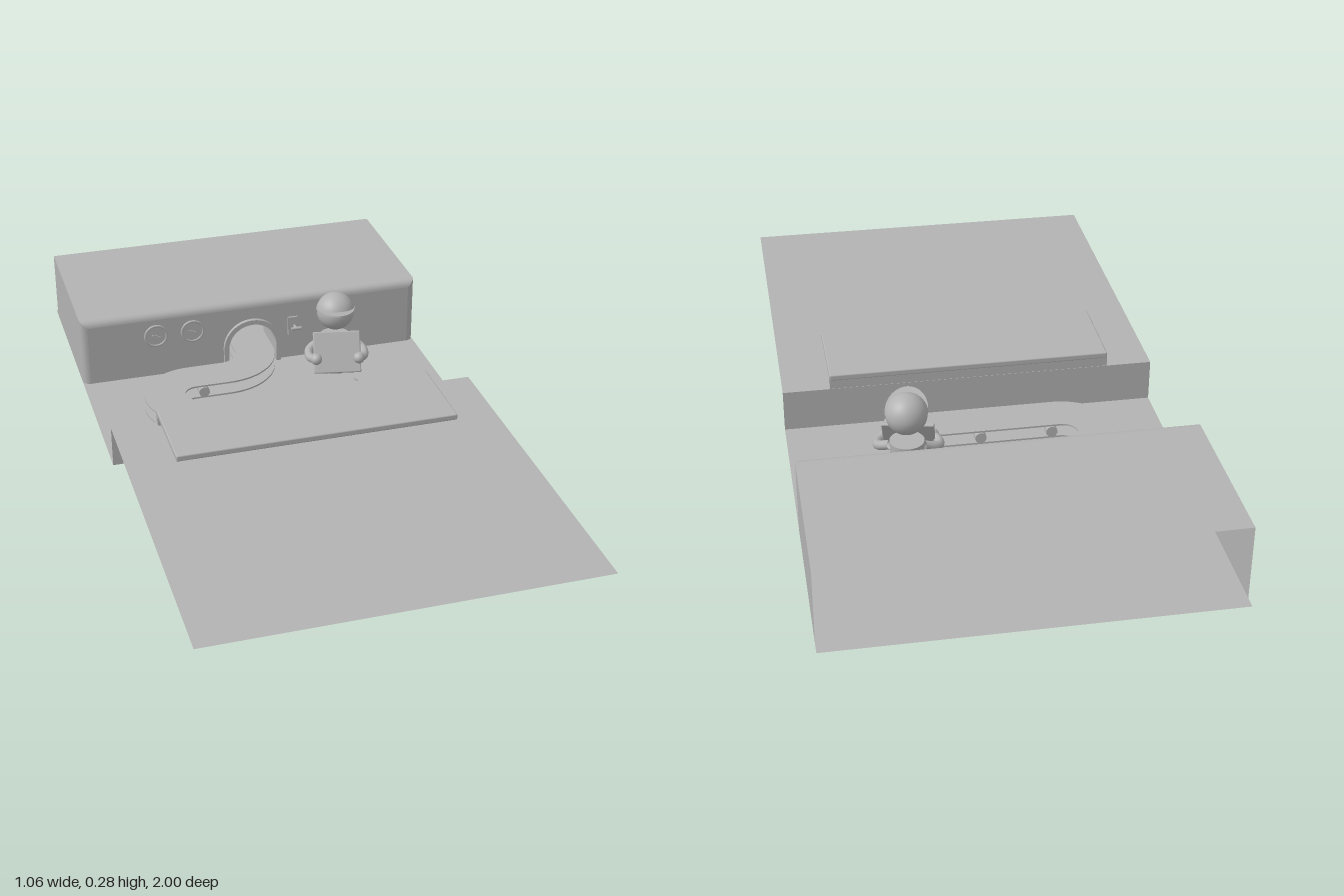
import * as THREE from 'three';
import { RoundedBoxGeometry } from 'three/addons/geometries/RoundedBoxGeometry.js';

const grey = new THREE.MeshStandardMaterial({ color: 0xb2b2b2, side: THREE.DoubleSide });
grey.name = 'plain grey';

const HALF = 0.528, WALL_Z = -0.483, WALL_H = 0.21;

function add(parent, name, geometry, x = 0, y = 0, z = 0, rx = 0, ry = 0, rz = 0) {
  const m = new THREE.Mesh(geometry, grey);
  m.name = name;
  m.position.set(x, y, z);
  m.rotation.set(rx, ry, rz);
  parent.add(m);
  return m;
}

function extrude(shape, depth, curveSegments = 24) {
  return new THREE.ExtrudeGeometry(shape, { depth, bevelEnabled: false, curveSegments });
}

// Adds a doorway outline, left foot over the top to right foot
function archLine(path, r, side) {
  path.lineTo(-r, 0);
  path.lineTo(-r, side);
  path.absarc(0, side, r, Math.PI, 0, true);
  path.lineTo(r, 0);
}

// Band between two doorway outlines
function archBand(outer, inner, side) {
  const s = new THREE.Shape();
  s.moveTo(-outer, 0);
  archLine(s, outer, side);
  s.lineTo(inner, 0);
  s.lineTo(inner, side);
  s.absarc(0, side, inner, 0, Math.PI, false);
  s.lineTo(-inner, 0);
  return s;
}

// Sides and roof of the machine, swept from the open back to a rounded front edge
function shellGeometry(r) {
  const rings = [[-0.967, 0], [WALL_Z - r - 0.01, 0]];
  for (let i = 0; i <= 6; i++) {
    const a = (i / 6) * Math.PI / 2;
    rings.push([WALL_Z - r + r * Math.sin(a), r * (1 - Math.cos(a))]);
  }
  const pos = [], idx = [];
  for (let panel = 0; panel < 3; panel++) {
    const start = pos.length / 3;
    rings.forEach(([z, d], i) => {
      const x = HALF - d, y = WALL_H - d;
      const line = [[-x, 0], [-x, y], [x, y], [x, 0]];
      pos.push(...line[panel], z, ...line[panel + 1], z);
      if (i) {
        const b = start + i * 2;
        idx.push(b - 2, b, b - 1, b - 1, b, b + 1);
      }
    });
  }
  const g = new THREE.BufferGeometry();
  g.setAttribute('position', new THREE.Float32BufferAttribute(pos, 3));
  g.setIndex(idx);
  // Turn the faces outward
  for (let i = 0; i < idx.length; i += 3) {
    const t = idx[i + 1]; idx[i + 1] = idx[i + 2]; idx[i + 2] = t;
  }
  g.setIndex(idx);
  g.computeVertexNormals();
  return g;
}

// Plan of the winding belt; shape y is -z
function beltShape() {
  const P = Math.PI, s = new THREE.Shape();
  s.moveTo(0.235, 0.08);
  s.lineTo(-0.225, 0.08);
  s.absarc(-0.225, 0.24, 0.16, -P / 2, -1.5 * P, true);
  s.lineTo(-0.12, 0.40);
  s.absarc(-0.12, 0.46, 0.06, -P / 2, 0, false);
  s.lineTo(-0.06, 0.62);
  s.lineTo(0.06, 0.62);
  s.lineTo(0.06, 0.46);
  s.absarc(-0.12, 0.46, 0.18, 0, -P / 2, true);
  s.lineTo(-0.225, 0.28);
  s.absarc(-0.225, 0.24, 0.04, P / 2, 1.5 * P, false);
  s.lineTo(0.235, 0.20);
  return s;
}

function buildGround(root) {
  add(root, 'lowerFloor', new THREE.PlaneGeometry(2 * HALF, 0.99), 0, 0, -0.505, -Math.PI / 2);
  add(root, 'upperFloor', new THREE.PlaneGeometry(2 * HALF, 1.01), 0, 0.12, 0.495, -Math.PI / 2);
  add(root, 'floorStep', new THREE.PlaneGeometry(2 * HALF, 0.12), 0, 0.06, -0.01, 0, Math.PI);
}

function buildMachine(root) {
  const g = new THREE.Group();
  g.name = 'machine';
  root.add(g);
  const r = 0.022, x = HALF - r;
  add(g, 'machineShell', shellGeometry(r));
  // Front wall with a doorway for the belt
  const face = new THREE.Shape();
  face.moveTo(-x, 0);
  archLine(face, 0.078, 0.06);
  face.lineTo(x, 0);
  face.lineTo(x, WALL_H - r);
  face.lineTo(-x, WALL_H - r);
  add(g, 'frontWall', new THREE.ShapeGeometry(face, 24), 0, 0, WALL_Z);
  add(g, 'doorFrame', extrude(archBand(0.09, 0.075, 0.06), 0.014), 0, 0, WALL_Z - 0.002);
  add(g, 'tunnel', extrude(archBand(0.081, 0.075, 0.06), 0.14), 0, 0, -0.623);
  // Two dials
  for (const dx of [-0.3, -0.187]) {
    add(g, 'dialFace', new THREE.CylinderGeometry(0.033, 0.033, 0.006, 32), dx, 0.137, WALL_Z + 0.003, Math.PI / 2);
    add(g, 'dialRim', new THREE.TorusGeometry(0.033, 0.004, 8, 32), dx, 0.137, WALL_Z + 0.005);
    add(g, 'dialNeedle', new THREE.BoxGeometry(0.026, 0.004, 0.003), dx, 0.137, WALL_Z + 0.008, 0, 0, -0.3);
  }
  // Lever beside the doorway
  add(g, 'leverPlate', new THREE.BoxGeometry(0.03, 0.06, 0.006), 0.13, 0.11, WALL_Z + 0.003);
  add(g, 'leverArm', new THREE.CylinderGeometry(0.004, 0.004, 0.026, 12), 0.135, 0.11, WALL_Z + 0.014, Math.PI / 2);
  add(g, 'leverGrip', new THREE.CylinderGeometry(0.005, 0.005, 0.032, 12), 0.135, 0.11, WALL_Z + 0.026, 0, 0, Math.PI / 2);
}

function buildConveyor(root) {
  const g = new THREE.Group();
  g.name = 'conveyor';
  root.add(g);
  for (const [name, y] of [['beltTop', 0.053], ['beltBottom', 0.016]]) {
    add(g, name, extrude(beltShape(), 0.005), 0, y, 0, -Math.PI / 2);
  }
  add(g, 'beltEnd', new THREE.CylinderGeometry(0.021, 0.021, 0.12, 20, 1, true, 0, Math.PI), 0.235, 0.037, -0.14, Math.PI / 2);
  for (const [x, z] of [[0.235, -0.14], [0, -0.14], [-0.2, -0.14], [-0.2, -0.34]]) {
    add(g, 'roller', new THREE.CylinderGeometry(0.016, 0.016, 0.128, 20), x, 0.037, z, Math.PI / 2);
  }
}

function buildCounter(root) {
  const g = new THREE.Group();
  g.name = 'counter';
  root.add(g);
  add(g, 'counterTop', new RoundedBoxGeometry(0.795, 0.018, 0.26, 3, 0.004), -0.002, 0.154, 0.12);
  add(g, 'counterLip', new THREE.BoxGeometry(0.795, 0.075, 0.02), -0.002, 0.1175, 0.001);
}

function buildWorker(root) {
  const g = new THREE.Group();
  g.name = 'worker';
  g.position.set(0.222, 0, -0.335);
  g.rotation.y = -0.2;
  root.add(g);
  const base = add(g, 'base', new THREE.SphereGeometry(0.062, 28, 14), 0, 0.04, 0);
  base.scale.y = 0.24;
  add(g, 'body', new THREE.CylinderGeometry(0.047, 0.044, 0.09, 28), 0, 0.093, 0);
  add(g, 'head', new THREE.SphereGeometry(0.056, 32, 20), 0, 0.219, 0);
  // Cap and brim
  add(g, 'cap', new THREE.SphereGeometry(0.0585, 32, 12, 0, Math.PI * 2, 0, Math.PI * 0.45), 0, 0.218, 0, -0.15);
  const brim = new THREE.Shape();
  brim.moveTo(-0.057, 0);
  brim.absellipse(0, 0, 0.057, 0.095, Math.PI, Math.PI * 2, false);
  brim.absarc(0, 0, 0.05, 0, -Math.PI, true);
  add(g, 'brim', extrude(brim, 0.004), 0, 0.228, 0, -Math.PI / 2 - 0.17);
  // Arms holding a board
  for (const s of [-1, 1]) {
    const path = new THREE.CatmullRomCurve3([
      new THREE.Vector3(s * 0.045, 0.122, 0), new THREE.Vector3(s * 0.08, 0.105, 0.025),
      new THREE.Vector3(s * 0.082, 0.098, 0.06), new THREE.Vector3(s * 0.066, 0.102, 0.085)]);
    add(g, 'arm', new THREE.TubeGeometry(path, 16, 0.013, 12), 0, 0, 0);
    add(g, 'hand', new THREE.SphereGeometry(0.017, 16, 12), s * 0.064, 0.102, 0.085);
  }
  const board = new THREE.Group();
  board.name = 'board';
  board.position.set(0, 0.112, 0.063);
  board.rotation.x = -0.5;
  g.add(board);
  add(board, 'boardPlate', new RoundedBoxGeometry(0.142, 0.125, 0.012, 2, 0.004));
  add(board, 'boardSheet', new THREE.BoxGeometry(0.115, 0.095, 0.004), 0, -0.004, 0.007);
}

export function createModel() {
  const root = new THREE.Group();
  root.name = 'workshop';
  buildGround(root);
  buildMachine(root);
  buildConveyor(root);
  buildCounter(root);
  buildWorker(root);
  return root;
}
